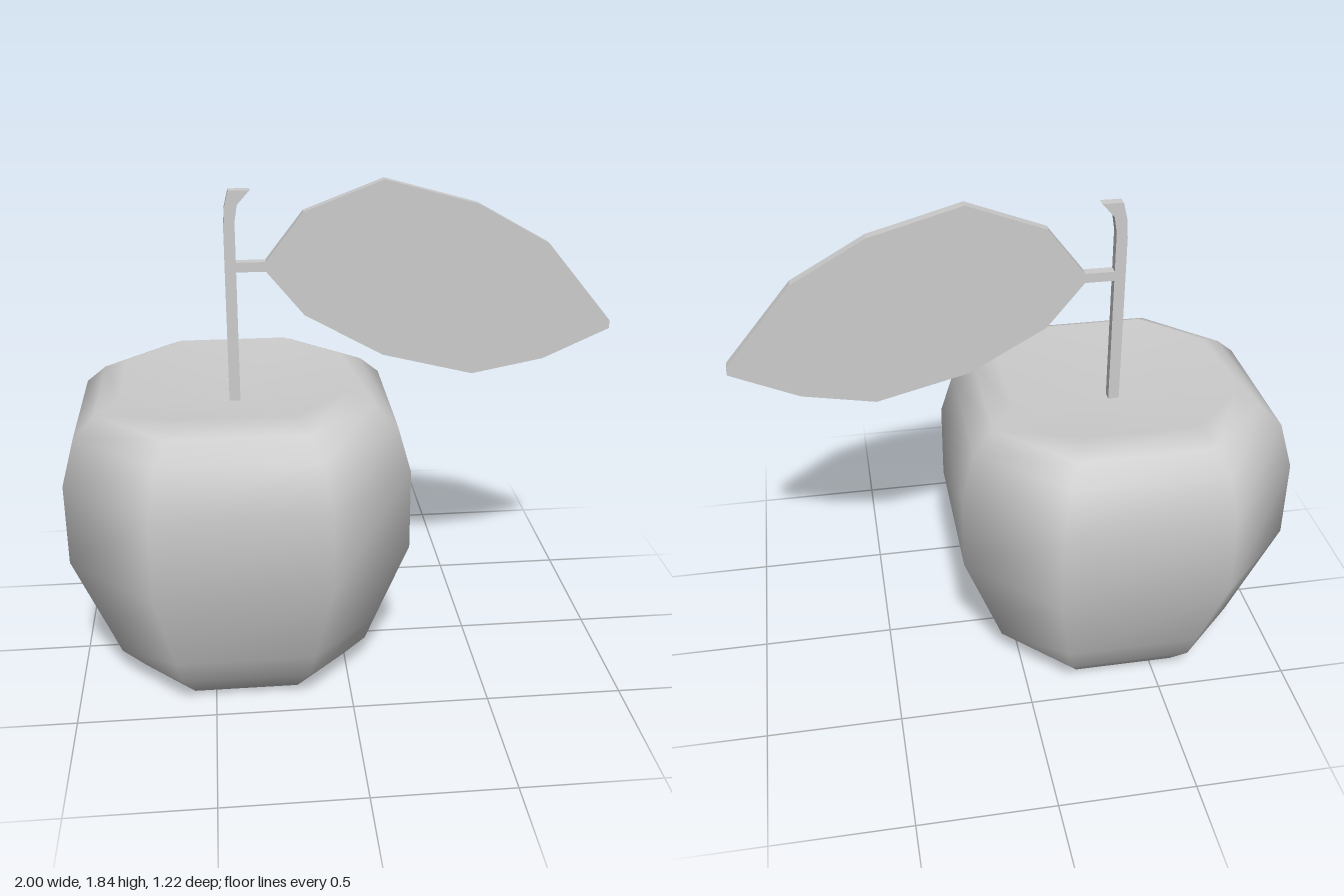
import * as THREE from 'three';
import { mergeVertices } from 'three/addons/utils/BufferGeometryUtils.js';

const material = () => new THREE.MeshStandardMaterial({ color: 0xcccccc });

// Apple body: eight-sided rings [half width x, half depth z, y], from base to dimple
function appleGeometry() {
  const corners = [[1, 0.5], [0.5, 1], [-0.5, 1], [-1, 0.5], [-1, -0.5], [-0.5, -1], [0.5, -1], [1, -0.5]];
  const rings = [
    [0, 0, 0], [0.25, 0.03, 0], [0.38, 0.38, 0.025], [0.46, 0.46, 0.12], [0.495, 0.495, 0.22],
    [0.612, 0.612, 0.55], [0.612, 0.612, 0.85], [0.565, 0.565, 1.02], [0.49, 0.49, 1.09],
    [0.405, 0.405, 1.13], [0, 0, 1.03],
  ];
  const positions = [];
  const index = [];
  const n = corners.length;
  rings.forEach(([hx, hz, y], r) => {
    corners.forEach(([cx, cz], i) => {
      positions.push(cx * hx, y, cz * hz);
      if (r === rings.length - 1) return;
      const a = r * n + i;
      const b = r * n + (i + 1) % n;
      index.push(a, a + n, b, b, a + n, b + n);
    });
  });
  const geometry = new THREE.BufferGeometry();
  geometry.setAttribute('position', new THREE.Float32BufferAttribute(positions, 3));
  geometry.setIndex(index);
  const merged = mergeVertices(geometry, 1e-4);
  merged.computeVertexNormals();
  return merged;
}

// Flat plate cut from an outline in the xy plane, centred on z = 0
function plate(name, outline) {
  const depth = 0.038;
  const shape = new THREE.Shape(outline.map(([x, y]) => new THREE.Vector2(x, y)));
  const geometry = new THREE.ExtrudeGeometry(shape, { depth, bevelEnabled: false });
  geometry.translate(0, 0, -depth / 2);
  const mesh = new THREE.Mesh(geometry, material());
  mesh.name = name;
  return mesh;
}

export function createModel() {
  const group = new THREE.Group();
  group.name = 'apple';

  const body = new THREE.Mesh(appleGeometry(), material());
  body.name = 'appleBody';
  body.position.x = -0.388;
  group.add(body);

  // Stem with hooked tip and the side twig that carries the leaf
  group.add(plate('stem', [
    [-0.41, 1.02], [-0.37, 1.02], [-0.37, 1.52], [-0.265, 1.52], [-0.265, 1.555], [-0.37, 1.555],
    [-0.37, 1.7], [-0.36, 1.76], [-0.315, 1.81], [-0.39, 1.81], [-0.405, 1.75], [-0.41, 1.68],
  ]));

  group.add(plate('leaf', [
    [-0.265, 1.52], [-0.13, 1.355], [0.155, 1.195], [0.49, 1.11], [0.755, 1.16], [1, 1.27],
    [1, 1.3], [0.755, 1.595], [0.49, 1.745], [0.155, 1.838], [-0.13, 1.73], [-0.265, 1.555],
  ]));

  return group;
}
